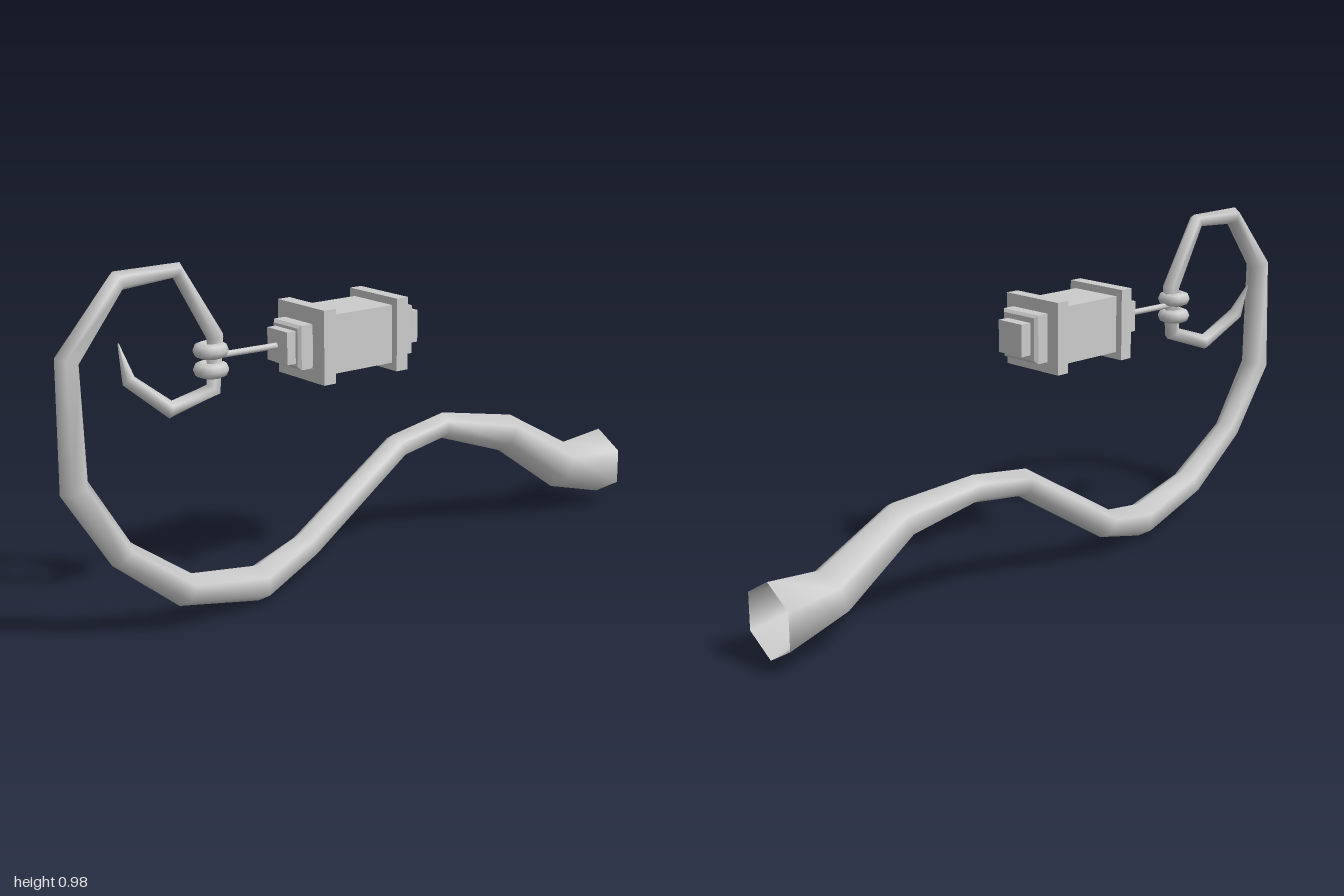
import * as THREE from 'three';

const grey = new THREE.MeshStandardMaterial({ color: 0xcccccc, side: THREE.DoubleSide });
const flat = new THREE.MeshStandardMaterial({ color: 0xcccccc, flatShading: true });

// Tail stations from the open root to the curled tip: x, y, z, radius
const STATIONS = [
  [-0.043, 0.14, -1, 0.106], [-0.035, 0.163, -0.81, 0.074], [-0.036, 0.308, -0.58, 0.058],
  [-0.08, 0.358, -0.365, 0.04], [-0.062, 0.33, -0.175, 0.04], [-0.015, 0.11, 0.19, 0.043],
  [0.04, 0.06, 0.39, 0.052], [0.083, 0.115, 0.648, 0.046], [0.085, 0.257, 0.835, 0.038],
  [0.085, 0.457, 0.96, 0.041], [0.093, 0.785, 0.968, 0.035], [0.06, 0.96, 0.804, 0.027],
  [0.045, 0.965, 0.625, 0.022], [0.035, 0.775, 0.508, 0.025], [0.033, 0.633, 0.515, 0.024],
  [0.012, 0.592, 0.635, 0.024], [-0.03, 0.675, 0.732, 0.02], [-0.07, 0.768, 0.737, 0.002],
];

// Six-sided tube with a varying radius, its rings kept level with the x axis
function taperedTube(stations, sides) {
  const centres = stations.map(s => new THREE.Vector3(s[0], s[1], s[2]));
  const last = centres.length - 1;
  const positions = [], index = [];
  centres.forEach((c, i) => {
    const tangent = new THREE.Vector3();
    if (i > 0) tangent.add(c.clone().sub(centres[i - 1]).normalize());
    if (i < last) tangent.add(centres[i + 1].clone().sub(c).normalize());
    if (i === 0) tangent.set(0, 0, 1);
    tangent.normalize();
    const side = new THREE.Vector3(1, 0, 0).addScaledVector(tangent, -tangent.x).normalize();
    const up = tangent.clone().cross(side);
    for (let j = 0; j < sides; j++) {
      const a = (j / sides) * Math.PI * 2 + Math.PI / 2;
      const p = c.clone()
        .addScaledVector(side, Math.cos(a) * stations[i][3])
        .addScaledVector(up, Math.sin(a) * stations[i][3]);
      positions.push(p.x, p.y, p.z);
      if (i < last) {
        const k = (j + 1) % sides;
        const [p0, p1, q0, q1] = [i * sides + j, i * sides + k, (i + 1) * sides + j, (i + 1) * sides + k];
        index.push(p0, p1, q1, p0, q1, q0);
      }
    }
  });
  const g = new THREE.BufferGeometry();
  g.setAttribute('position', new THREE.Float32BufferAttribute(positions, 3));
  g.setIndex(index);
  g.computeVertexNormals();
  return g;
}

// Square block along z with chamfered ends
function chamferedBlock(half, depth, chamfer) {
  const d = depth / 2, k = Math.SQRT2;
  const profile = [[0, -d], [half - chamfer, -d], [half, -d + chamfer], [half, d - chamfer], [half - chamfer, d], [0, d]]
    .map(([r, y]) => new THREE.Vector2(r * k, y));
  return new THREE.LatheGeometry(profile, 4, Math.PI / 4).rotateX(Math.PI / 2);
}

export function createModel() {
  const model = new THREE.Group();
  const add = (parent, name, geometry, material, x, y, z) => {
    const mesh = new THREE.Mesh(geometry, material);
    mesh.name = name;
    mesh.position.set(x, y, z);
    parent.add(mesh);
    return mesh;
  };

  add(model, 'tail', taperedTube(STATIONS, 6), grey, 0, 0, 0);

  // Two rings gripping the tail
  for (const y of [0.74, 0.688]) {
    const ring = new THREE.TorusGeometry(0.027, 0.021, 8, 16).rotateX(Math.PI / 2);
    add(model, 'tailRing', ring, grey, 0.035, y, 0.522);
  }

  // Hammer-like block, turned slightly about the vertical
  const block = new THREE.Group();
  block.name = 'block';
  block.position.set(0.03, 0.722, 0.085);
  block.rotation.y = 0.04;
  model.add(block);

  add(block, 'blockBody', new THREE.BoxGeometry(0.164, 0.164, 0.23), flat, 0, 0, 0);
  for (const z of [0.13, -0.125]) {
    add(block, 'flange', new THREE.BoxGeometry(0.206, 0.206, 0.04), flat, 0, 0, z);
  }
  add(block, 'frontCap', chamferedBlock(0.061, 0.052, 0.008), flat, 0, 0, 0.176);
  add(block, 'frontStep', new THREE.BoxGeometry(0.09, 0.09, 0.04), flat, 0, 0, 0.21);
  add(block, 'backCap', chamferedBlock(0.069, 0.052, 0.008), flat, 0, 0, -0.17);
  add(block, 'backStep', new THREE.BoxGeometry(0.092, 0.092, 0.046), flat, 0, 0, -0.207);

  // Rod joining the block to the rings
  const rod = new THREE.CylinderGeometry(0.009, 0.009, 0.22, 8).rotateX(Math.PI / 2);
  add(model, 'rod', rod, grey, 0.034, 0.722, 0.41);

  return model;
}
